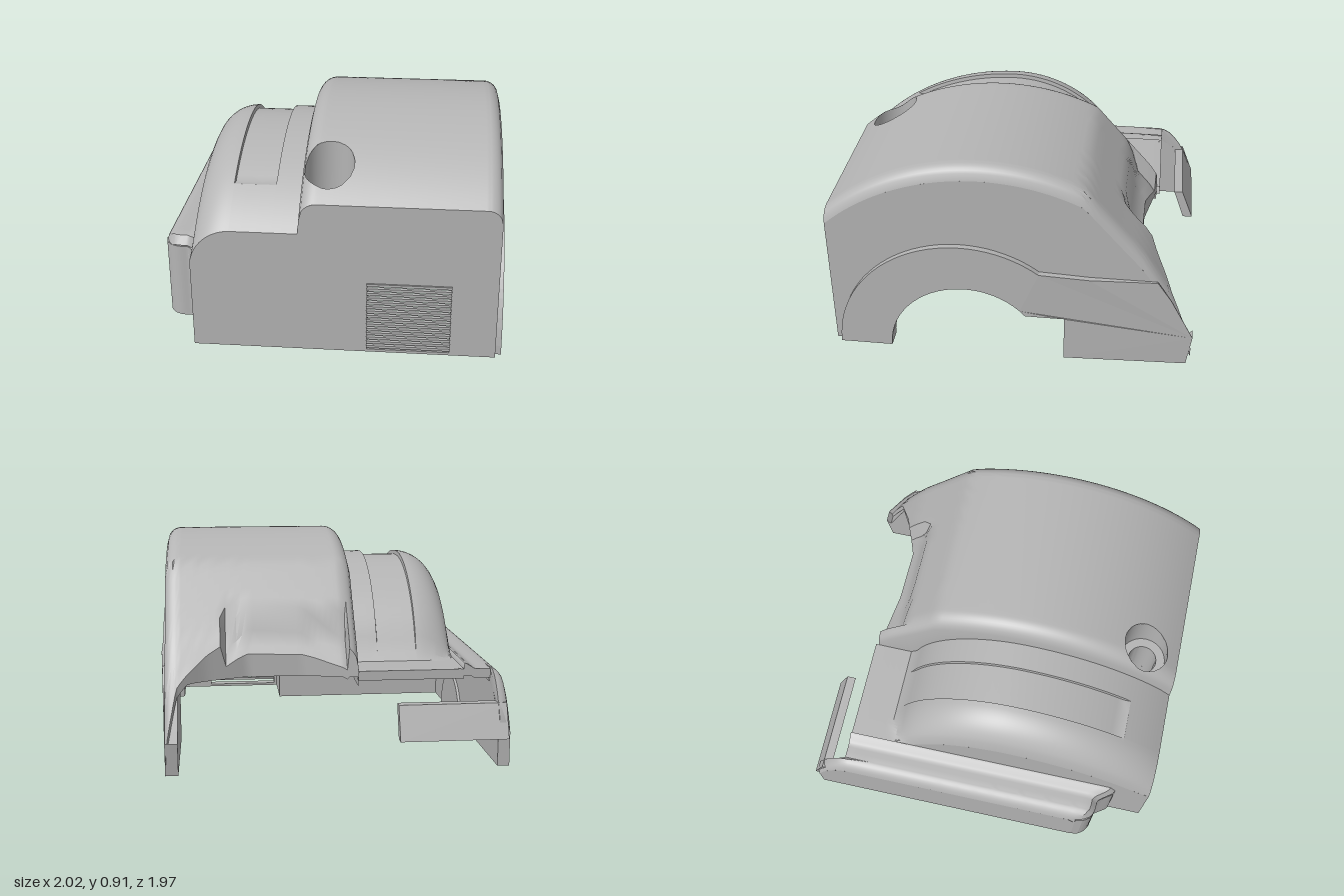
import * as THREE from 'three';
import { toCreasedNormals } from 'three/addons/utils/BufferGeometryUtils.js';

// Local frame: x runs across the cover, z runs to its front face; the whole is turned at the end.
const WALL = 0.05, CEILING = 0.35, FRONT = 0.8, RIGHT = 0.667, STEP = -0.13, MID = -0.575, LEFT = -0.74;
const PIN = { u: -0.02, v: 0.647, r: 0.1, hole: 0.062, floor: 0.6 };

const range = (a, b, n) => Array.from({ length: n + 1 }, (_, i) => a + (b - a) * i / n);
const smooth = THREE.MathUtils.smoothstep;
// drop of a rounded edge of radius r at distance d from it
const fillet = (d, r) => (d >= r ? 0 : r - Math.sqrt(Math.max(0, r * r - (r - Math.max(d, 0)) ** 2)));
const arc = (v, peak, R) => peak - R + Math.sqrt(Math.max(0, R * R - (v - 0.15) ** 2));
// straight-line interpolation through points listed from high to low
function along(pts, v) {
  for (let i = 1; i < pts.length; i++) {
    const [v0, y0] = pts[i - 1], [v1, y1] = pts[i];
    if (v >= v1 || i === pts.length - 1) return y0 + (y1 - y0) * (v - v0) / (v1 - v0);
  }
}

// Height rules of the three stepped humps
const slope = [[-0.27, 0.815], [-0.44, 0.62], [-0.52, 0.53], [-0.62, 0.38], [-0.736, 0.14]];
const ledgeBase = v => 0.38 - (v < -0.56 ? 7 * (v + 0.56) ** 2 : 0);
function midHeight(u, v) {
  const groove = u > -0.41 && u < -0.24 && v > -0.36 && v < 0.62 ? 0.018 : 0;
  const dome = arc(v, 0.79, v > 0.15 ? 0.94 : 0.55) - fillet(u - MID, 0.17) - groove;
  const base = ledgeBase(v), k = 0.025;
  return Math.max(dome, base) + k * Math.exp(-Math.abs(dome - base) / k) * 0.7;
}
function tallHeight(u, v) {
  if (u < STEP) return midHeight(-0.2, v) - 0.03;
  let y = v > -0.27 ? arc(v, 0.91, 0.97) : along(slope, v);
  if (u > -0.09 && u < 0.43) y -= 0.1 * smooth(-v, 0.42, 0.47);
  return y - fillet(u - STEP, 0.07) - fillet(RIGHT - u, 0.06);
}
const ledgeFront = u => 0.58 - fillet(u - LEFT, 0.08) + 0.07 * smooth(u, -0.64, MID);
const ledgeHeight = (u, v) => ledgeBase(v) + 0.025 * smooth(u, -0.63, MID)
  - fillet(u - LEFT, 0.06) - fillet(ledgeFront(u) - v, 0.04);

// Plan outline of the concave back edge of the tall hump
const backEdge = [[RIGHT, -0.736], [0.62, -0.64], [0.5, -0.57], [0.33, -0.505], [0.1, -0.51], [STEP, -0.56]];

export function createModel() {
  const grey = new THREE.MeshStandardMaterial({ color: 0xb4b4b4, side: THREE.DoubleSide });
  grey.name = 'plain grey';
  const cover = new THREE.Group();
  cover.name = 'machineCover';

  const add = (name, geo) => {
    const m = new THREE.Mesh(geo, grey);
    m.name = name;
    cover.add(m);
    return m;
  };
  const extrude = (pts, depth, holes = []) => {
    const shape = new THREE.Shape(pts.map(p => new THREE.Vector2(...p)));
    shape.holes.push(...holes);
    return new THREE.ExtrudeGeometry(shape, { depth, bevelEnabled: false, curveSegments: 24 });
  };
  // plate drawn in the side plane, outer face at u, thickness going to the left
  const sidePlate = (name, pts, u, depth) =>
    add(name, extrude(pts, depth).rotateY(-Math.PI / 2).translate(u, 0, 0));
  // upright block drawn in plan, standing on the ground
  const planBlock = (name, pts, top, holes) =>
    add(name, extrude(pts, top, holes).rotateX(Math.PI / 2).translate(0, top, 0));

  // Solid curved roof over a flat ceiling, with a closed back rim
  function roof(name, us, back, front, height) {
    const rows = 48, n = us.length, pos = [], cut = [], index = [];
    for (const under of [false, true]) for (let j = 0; j <= rows; j++) for (const u0 of us) {
      let u = u0, v = back(u) + (front(u) - back(u)) * j / rows;
      const du = u - PIN.u, dv = v - PIN.v, r = Math.hypot(du, dv) || 1;
      const inside = r < PIN.r;
      if (inside) { u = PIN.u + du / r * PIN.r; v = PIN.v + dv / r * PIN.r; }
      cut.push(inside);
      const y = height(u, v);
      pos.push(u, under ? Math.min(CEILING, y - 0.04) : y, v);
    }
    const layer = n * (rows + 1);
    for (let j = 0; j < rows; j++) for (let i = 0; i < n - 1; i++) {
      const a = j * n + i, b = a + 1, c = a + n, d = c + 1;
      if (cut[a] && cut[b] && cut[c] && cut[d]) continue;
      index.push(a, c, b, b, c, d);
      index.push(a + layer, b + layer, c + layer, b + layer, d + layer, c + layer);
    }
    for (let i = 0; i < n - 1; i++) {
      index.push(i, i + 1, i + layer, i + 1, i + 1 + layer, i + layer);
    }
    const g = new THREE.BufferGeometry();
    g.setAttribute('position', new THREE.Float32BufferAttribute(pos, 3));
    g.setIndex(index);
    add(name, toCreasedNormals(g, 0.6));
  }

  roof('tallRoof', [STEP - 0.002, ...range(STEP, -0.06, 8), ...range(-0.04, 0.6, 28), ...range(0.61, RIGHT, 7)],
    u => along(backEdge, u), () => FRONT, tallHeight);
  roof('middleRoof', [...range(MID, -0.43, 12), -0.411, -0.409, -0.36, -0.3, -0.241, -0.239, -0.2, -0.15, STEP],
    () => -0.575, () => FRONT, midHeight);
  roof('lowLedge', [...range(LEFT, -0.68, 8), ...range(-0.66, MID, 8)],
    u => (u < LEFT + WALL ? -0.72 : -0.575), ledgeFront, ledgeHeight);

  // Right wall with its arched opening
  const opening = [[-0.74, 0.14], [-0.72, 0], [-0.2, 0], [-0.2, 0.21], [-0.105, 0.21],
    ...range(2.45, 0, 24).map(a => [0.22 + 0.33 * Math.cos(a), 0.33 * Math.sin(a)])];
  const rightTop = range(FRONT, -0.72, 50).map(v => [v, tallHeight(RIGHT, v)]);
  sidePlate('rightWall', [...opening, [FRONT, 0], ...rightTop], RIGHT, WALL);

  // Raised arch and belt on the right wall, fading towards the back
  const rim = [...opening, ...range(0, 2.22, 30).map(a => [0.235 + 0.54 * Math.cos(a), 0.54 * Math.sin(a)]),
    [-0.3, 0.42], [-0.58, 0.42], [-0.64, 0.33]];
  const rimGeo = sidePlate('archRim', rim, RIGHT + 0.025, 0.025).geometry;
  const rp = rimGeo.attributes.position;
  for (let i = 0; i < rp.count; i++) {
    const fade = THREE.MathUtils.clamp((rp.getZ(i) + 0.76) / 0.5, 0.1, 1);
    if (rp.getX(i) > RIGHT + 0.01) rp.setX(i, RIGHT + 0.025 * fade);
  }
  rimGeo.computeVertexNormals();

  // Left walls: the low outer one, and the upright step between ledge and middle hump
  sidePlate('leftWall', [[-0.72, 0], [0.5, 0], ...range(0.5, -0.72, 40).map(v => [v, ledgeHeight(LEFT, v)])],
    LEFT + WALL, WALL);
  sidePlate('stepWall', [[-0.57, CEILING], [0.5, CEILING], [0.5, 0], [FRONT, 0],
    ...range(FRONT, -0.57, 60).map(v => [v, midHeight(MID, v)])], MID + 0.02, 0.02);
  sidePlate('innerHalfDisc', range(0, Math.PI, 24).map(a => [0.12 + 0.19 * Math.cos(a), 0.19 * Math.sin(a)]),
    LEFT + WALL + 0.012, 0.012);
  planBlock('ledgeFrontWall', [...range(LEFT, MID, 24).map(u => [u, ledgeFront(u)]), [MID, 0.5], [LEFT, 0.5]], 0.335);

  // Front wall with the vent hole
  const vent = new THREE.Path([[0.143, 0.012], [0.143, 0.32], [0.479, 0.32], [0.479, 0.012]]
    .map(p => new THREE.Vector2(...p)));
  const frontTop = [...range(RIGHT, 0.6, 10), 0.3, ...range(-0.06, STEP, 6)].map(u => [u, tallHeight(u, FRONT)]);
  const frontMid = [-0.135, -0.17, ...range(-0.4, MID, 16)].map(u => [u, midHeight(u, FRONT)]);
  add('frontWall', extrude([[MID, 0], [RIGHT, 0], ...frontTop, ...frontMid], WALL, [vent])
    .translate(0, 0, FRONT - WALL));
  for (let i = 0; i < 15; i++) {
    add('ventSlat', new THREE.BoxGeometry(0.342, 0.011, 0.014).translate(0.311, 0.028 + i * 0.0205, FRONT));
  }

  // Solid mounting block with the screw hole
  const screwHole = new THREE.Path().absarc(PIN.u, PIN.v, PIN.hole, 0, Math.PI * 2, true);
  planBlock('mountingBlock', [[MID, 0.5], [0.13, 0.5], [0.13, FRONT - 0.01], [MID, FRONT - 0.01]],
    CEILING, [screwHole]);

  // Round screw pocket sunk into the tall roof, its upper edge following the curve
  const pocketProfile = [[PIN.hole, CEILING], [PIN.hole, PIN.floor], [PIN.r, PIN.floor], [PIN.r, 1]];
  const pocket = new THREE.LatheGeometry(pocketProfile.map(p => new THREE.Vector2(...p)), 40)
    .translate(PIN.u, 0, PIN.v);
  const pp = pocket.attributes.position;
  for (let i = 0; i < pp.count; i++) {
    if (pp.getY(i) > 0.9) pp.setY(i, Math.max(PIN.floor, tallHeight(pp.getX(i), pp.getZ(i))));
  }
  add('screwPocket', toCreasedNormals(pocket, 0.6));

  // Sloping strip reaching across the open back
  sidePlate('backStrip', [[-0.745, 0.12], [-0.7, 0.12], [-0.65, 0.26], [-0.69, 0.26]], -0.28, -0.28 - LEFT - 0.01);

  cover.rotation.y = 0.583;
  const model = new THREE.Group();
  model.name = 'cover';
  model.add(cover);
  return model;
}
